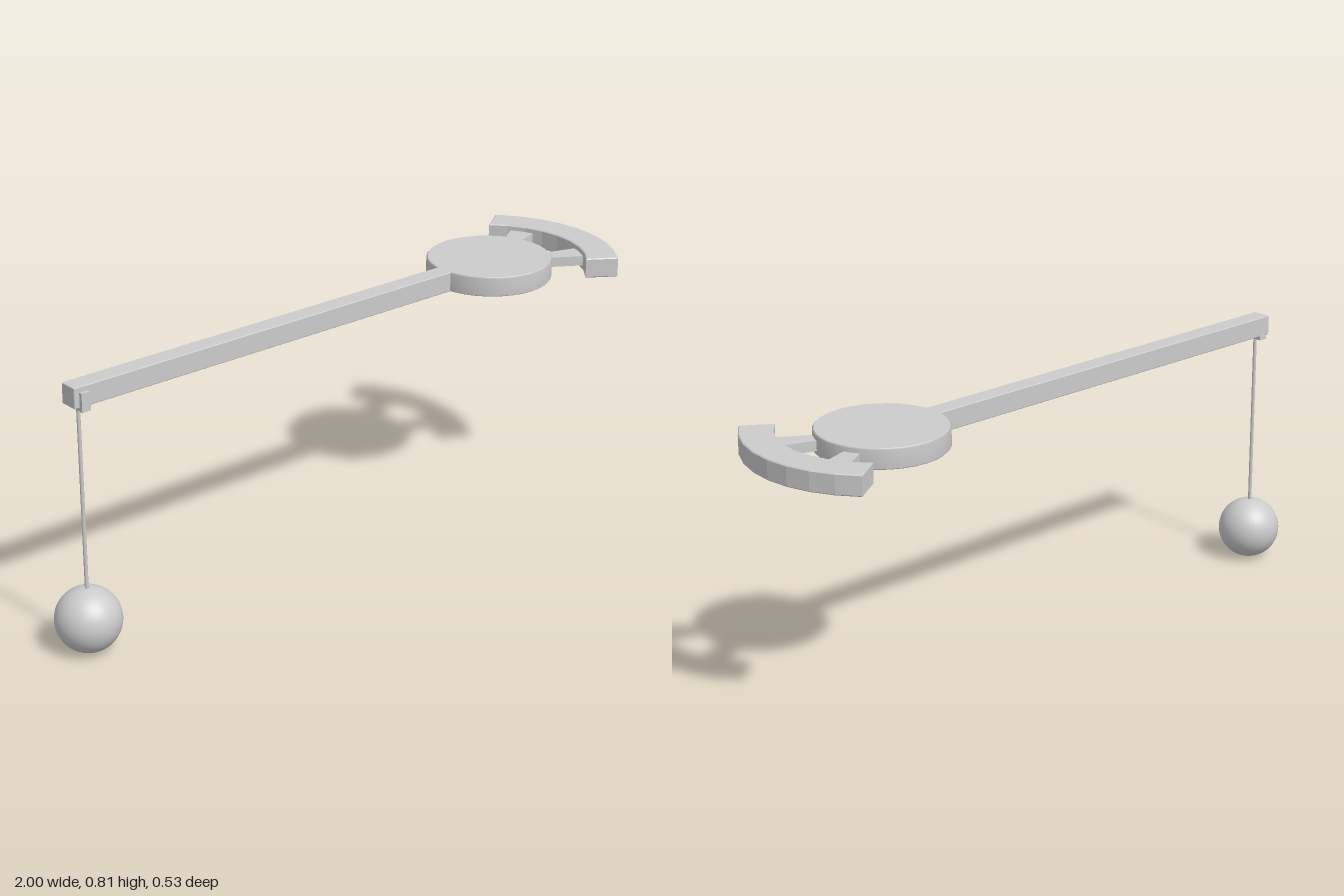
import * as THREE from 'three';
import { RoundedBoxGeometry } from 'three/addons/geometries/RoundedBoxGeometry.js';

const HUB_X = 0.61;
const BOTTOM = 0.745, TOP = 0.806, MID = (BOTTOM + TOP) / 2;
const DEG = Math.PI / 180;

export function createModel() {
  const group = new THREE.Group();
  const material = new THREE.MeshStandardMaterial({ color: 0xcccccc });

  const add = (name, geometry, x, y, z) => {
    const mesh = new THREE.Mesh(geometry, material);
    mesh.name = name;
    mesh.position.set(x, y, z);
    group.add(mesh);
    return mesh;
  };

  // Flat ring sector around the hub; inner and outer edges have their own angle ranges.
  const sector = (inner, outer, innerRange, outerRange, height, steps, bevel) => {
    const points = [];
    const arc = (radius, from, to) => {
      for (let i = 0; i <= steps; i++) {
        const a = (from + ((to - from) * i) / steps) * DEG;
        points.push(new THREE.Vector2(radius * Math.cos(a), radius * Math.sin(a)));
      }
    };
    arc(outer, outerRange[0], outerRange[1]);
    arc(inner, innerRange[1], innerRange[0]);
    const geometry = new THREE.ExtrudeGeometry(new THREE.Shape(points), {
      depth: height - 2 * bevel, bevelEnabled: bevel > 0, bevelThickness: bevel,
      bevelSize: bevel, bevelOffset: -bevel, bevelSegments: 1,
    });
    geometry.translate(0, 0, bevel - height / 2);
    return geometry.rotateX(-Math.PI / 2);
  };

  // Long arm running into the hub
  add('arm', new RoundedBoxGeometry(1.4, TOP - BOTTOM, 0.058, 2, 0.003), -0.235, MID, 0);

  // Round hub with a slight edge bevel
  const h = (TOP - BOTTOM) / 2, r = 0.19, b = 0.004;
  const add2 = (x, y) => new THREE.Vector2(x, y);
  const side = new THREE.LatheGeometry([add2(r - b, -h), add2(r, b - h), add2(r, h - b), add2(r - b, h)], 32);
  add('hubRim', side, HUB_X, MID, 0);
  for (const s of [1, -1]) {
    const cap = new THREE.CircleGeometry(r - b, 32).rotateX(-s * Math.PI / 2);
    add(s > 0 ? 'hubTop' : 'hubBottom', cap, HUB_X, MID + s * h, 0);
  }

  // Curved counterweight and its two struts
  add('counterweight', sector(0.293, 0.39, [-46, 46], [-43, 43], TOP - BOTTOM, 8, 0.003), HUB_X, MID, 0);
  for (const s of [1, -1]) {
    const range = s > 0 ? [18, 32.5] : [-32.5, -18];
    add(s > 0 ? 'rightStrut' : 'leftStrut', sector(0.17, 0.32, range, range, 0.03, 2, 0), HUB_X, MID, 0);
  }

  // Cable clip under and in front of the arm tip
  add('clipBase', new THREE.BoxGeometry(0.028, 0.012, 0.073), -0.905, 0.741, 0.003);
  add('clipSide', new THREE.BoxGeometry(0.028, 0.055, 0.012), -0.905, 0.7625, 0.0335);

  // Hanging cable and ball
  add('cable', new THREE.CylinderGeometry(0.0055, 0.0055, 0.56, 12), -0.905, 0.46, 0);
  add('ball', new THREE.SphereGeometry(0.096, 32, 24), -0.904, 0.097, 0);

  return group;
}
